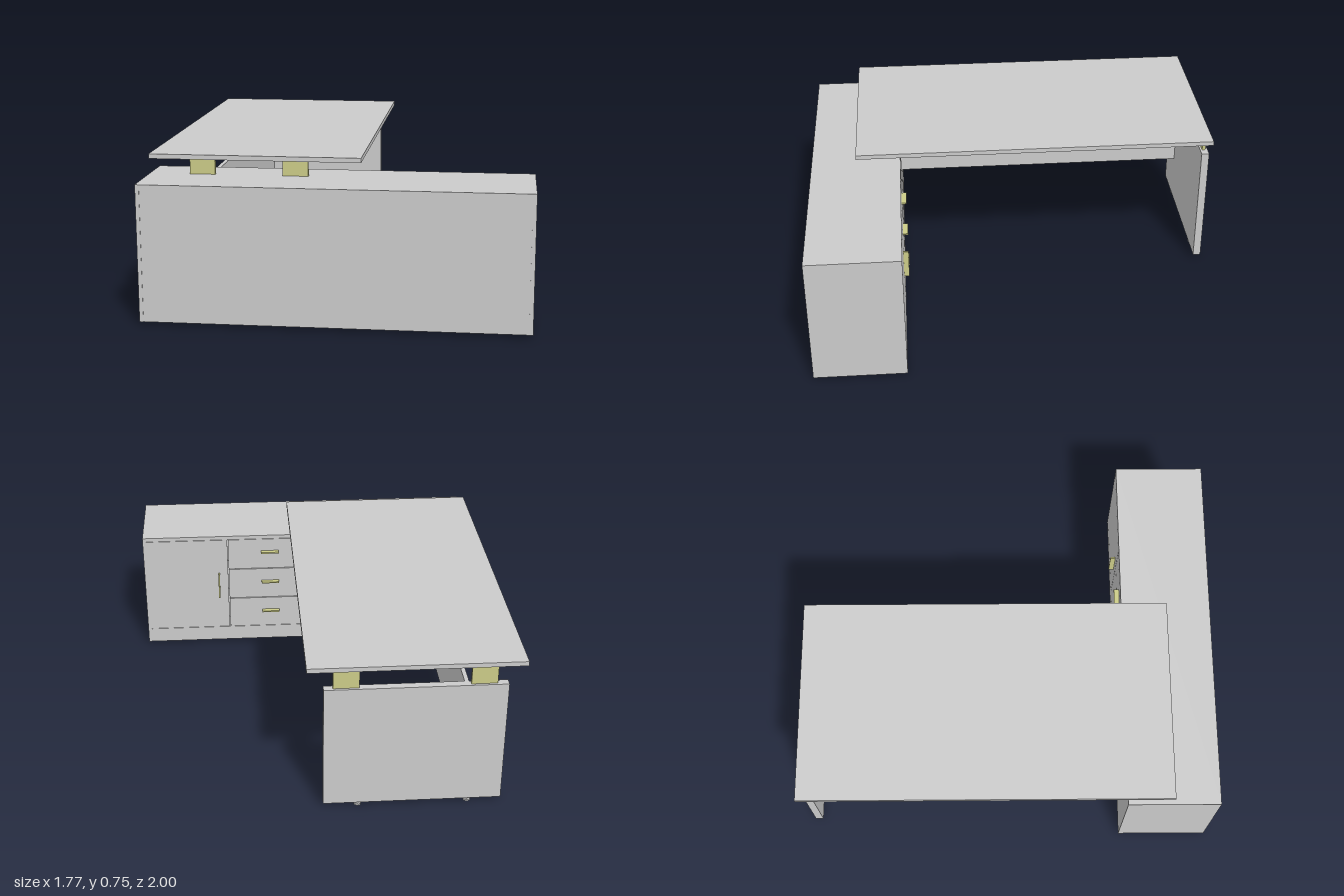
import * as THREE from 'three';

const grey = new THREE.MeshStandardMaterial({ color: 0xcccccc });
const brass = new THREE.MeshStandardMaterial({ color: 0xcccc88 });

// Box given by its extents along each axis
function panel(parent, name, [x0, x1], [y0, y1], [z0, z1], material = grey) {
  const mesh = new THREE.Mesh(new THREE.BoxGeometry(x1 - x0, y1 - y0, z1 - z0), material);
  mesh.position.set((x0 + x1) / 2, (y0 + y1) / 2, (z0 + z1) / 2);
  mesh.name = name;
  parent.add(mesh);
  return mesh;
}

function createCabinet() {
  const g = new THREE.Group();
  g.name = 'cabinet';
  const W = 0.885, T = 0.018, base = 0.015, floor = 0.095, top = 0.63;
  const back = 0.56, front = 1;

  // Carcass: top, sides, front sheet, raised floor and rear plinth
  panel(g, 'cabinetTop', [-W, W], [top, 0.65], [back, front]);
  for (const s of [-1, 1]) {
    const x = s * (W - T / 2);
    panel(g, 'cabinetSide', [x - T / 2, x + T / 2], [base, top], [back, front]);
  }
  panel(g, 'cabinetFront', [-W + T, W - T], [base, top], [front - T - 0.002, front - 0.002]);
  panel(g, 'cabinetFloor', [-W + T, W - T], [floor - T, floor], [back + T, front - T - 0.002]);
  panel(g, 'plinth', [-W + T, W - T], [base, floor], [back, back + T]);

  // Upright dividers between the compartments
  for (const x of [0.43, -0.01, -0.3, -0.615]) {
    panel(g, 'divider', [x - T / 2, x + T / 2], [floor, top], [back + T, front - T - 0.002]);
  }
  for (const x of [-0.01, -0.3]) {
    panel(g, 'dividerEdge', [x - T / 2, x + T / 2], [floor, top], [back, back + T]);
  }
  panel(g, 'shelf', [-0.606, -0.309], [0.34, 0.358], [back + 0.01, front - T - 0.002]);

  // Closed fronts on both ends
  const gap = 0.002;
  panel(g, 'door', [0.43 + gap, W - T], [floor + gap, top - gap], [back, back + T]);
  panel(g, 'closedPanel', [-W + T, -0.606], [floor, top], [back, back + T]);
  panel(g, 'doorHandle', [0.478, 0.486], [0.29, 0.43], [0.535, back], brass);

  // Stack of three drawers with bar handles
  const h = (top - floor) / 3;
  for (let i = 0; i < 3; i++) {
    const y = floor + i * h;
    panel(g, 'drawerFront', [gap, 0.43 - gap], [y + gap, y + h - gap], [back, back + T]);
    const hy = 0.195 + i * 0.18;
    panel(g, 'drawerHandle', [0.155, 0.25], [hy - 0.004, hy + 0.004], [0.535, back], brass);
  }
  return g;
}

function createDesk() {
  const g = new THREE.Group();
  g.name = 'desk';
  panel(g, 'deskTop', [-0.88, 0.1], [0.725, 0.747], [-1, 0.775]);
  panel(g, 'endLeg', [-0.8, 0.025], [0.02, 0.635], [-1, -0.962]);
  panel(g, 'modestyPanel', [-0.625, -0.605], [0.245, 0.635], [-0.962, 0.56]);

  // Stand-off plates that lift the top
  for (const x of [-0.75, -0.135]) {
    panel(g, 'rearStandoff', [x, x + 0.118], [0.635, 0.725], [-0.988, -0.972], brass);
  }
  for (const x of [-0.697, -0.265]) {
    panel(g, 'frontStandoff', [x, x + 0.118], [0.65, 0.725], [0.718, 0.735], brass);
  }

  // Levelling feet: a disc and a short stem
  for (const x of [-0.645, -0.135]) {
    for (const [r, y, h] of [[0.017, 0.004, 0.008], [0.008, 0.014, 0.012]]) {
      const foot = new THREE.Mesh(new THREE.CylinderGeometry(r, r, h, 20), grey);
      foot.position.set(x, y, -0.981);
      foot.name = 'foot';
      g.add(foot);
    }
  }
  return g;
}

export function createModel() {
  const model = new THREE.Group();
  model.name = 'executiveDesk';
  model.add(createCabinet(), createDesk());
  return model;
}
